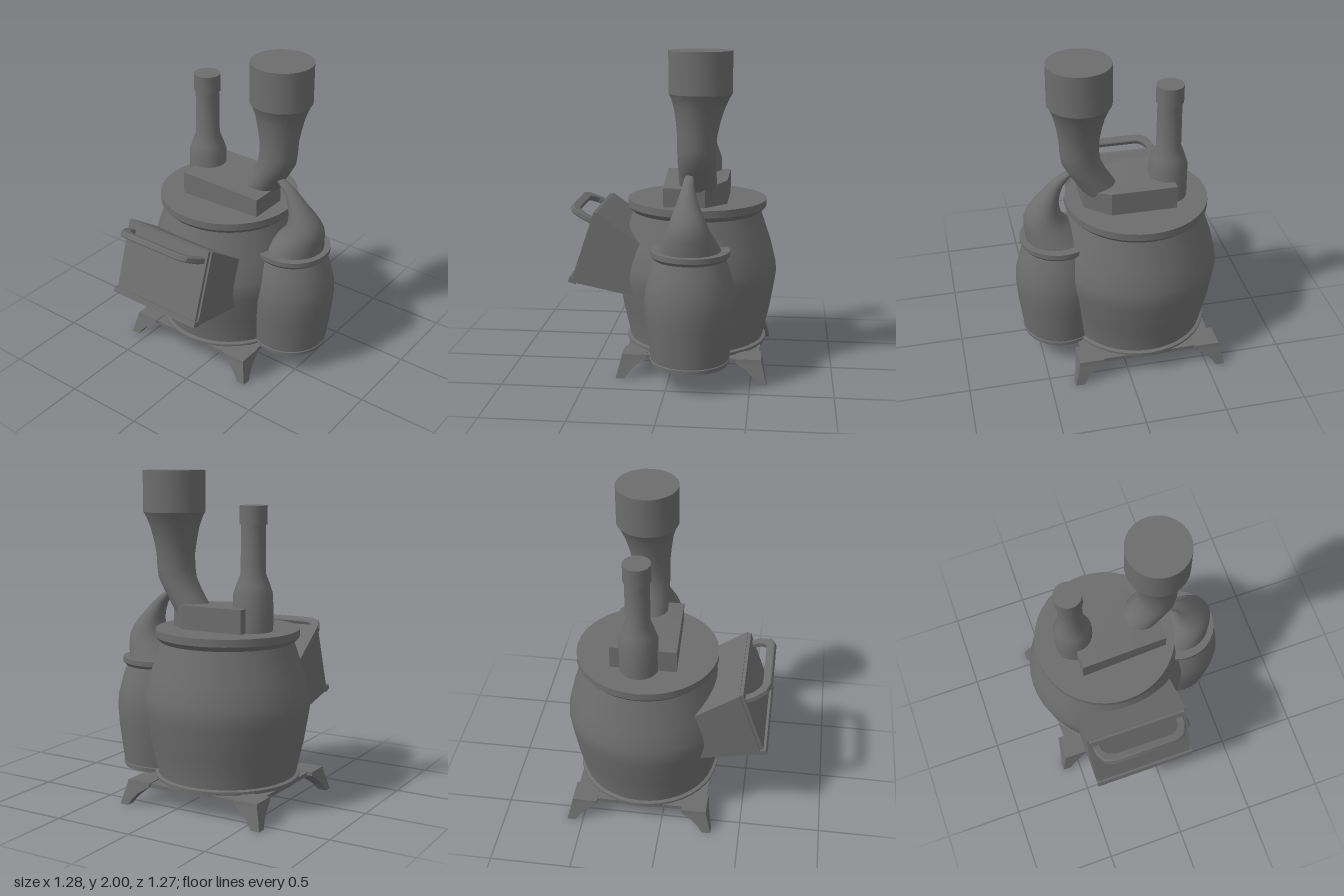
import * as THREE from 'three';
import { toCreasedNormals } from 'three/addons/utils/BufferGeometryUtils.js';

const material = new THREE.MeshStandardMaterial({ color: 0x6d6d6d });
const CX = 0.135, CZ = -0.13; // axis of the main vessel

export function createModel() {
  const model = new THREE.Group();

  function add(name, geometry, parent = model, crease = 0.5) {
    const mesh = new THREE.Mesh(toCreasedNormals(geometry, crease), material);
    mesh.name = name;
    parent.add(mesh);
    return mesh;
  }

  // Turned part from [radius, y] pairs, bottom to top
  function turned(name, profile, x, z, segments = 32) {
    const points = profile.map(([r, y]) => new THREE.Vector2(r, y));
    add(name, new THREE.LatheGeometry(points, segments)).position.set(x, 0, z);
  }

  // Capped skin over rings of [x, y, z], each anticlockwise seen from above
  function loft(rings) {
    const n = rings[0].length, index = [];
    for (let i = 0; i < rings.length - 1; i++) {
      for (let j = 0; j < n; j++) {
        const k = (j + 1) % n;
        const a = i * n + j, b = i * n + k, c = b + n, d = a + n;
        index.push(a, b, c, a, c, d);
      }
    }
    const top = (rings.length - 1) * n;
    for (let j = 1; j < n - 1; j++) {
      index.push(0, j + 1, j, top, top + j, top + j + 1);
    }
    const geometry = new THREE.BufferGeometry();
    geometry.setAttribute('position', new THREE.Float32BufferAttribute(rings.flat(2), 3));
    geometry.setIndex(index);
    geometry.computeVertexNormals();
    return geometry;
  }

  // Level ring from [y, centre x, centre z, radius x, radius z]
  function circle([y, x, z, r, rz = r]) {
    return Array.from({ length: 28 }, (_, i) => {
      const a = (i / 28) * Math.PI * 2;
      return [x + Math.cos(a) * r, y, z - Math.sin(a) * rz];
    });
  }

  function shape(points) {
    return new THREE.Shape(points.map(([x, y]) => new THREE.Vector2(x, y)));
  }

  // Main vessel with foot ring and lid
  turned('mainVessel', [
    [0, 0.14], [0.425, 0.14], [0.425, 0.17], [0.468, 0.36], [0.498, 0.54], [0.506, 0.6],
    [0.5, 0.66], [0.468, 0.79], [0.407, 0.97], [0.4, 1.0], [0, 1.0],
  ], CX, CZ, 40);
  turned('footRing', [
    [0, 0.13], [0.437, 0.13], [0.437, 0.148], [0.446, 0.152], [0.446, 0.165], [0.428, 0.172], [0, 0.172],
  ], CX, CZ, 40);
  turned('lid', [[0, 0.985], [0.41, 0.985], [0.437, 1.015], [0.437, 1.06], [0, 1.06]], CX, CZ, 40);

  // Front vessel
  turned('frontVessel', [
    [0, 0.14], [0.235, 0.14], [0.235, 0.155], [0.242, 0.158], [0.242, 0.168], [0.237, 0.172],
    [0.266, 0.4], [0.274, 0.52], [0.268, 0.6], [0.237, 0.72], [0.21, 0.795], [0, 0.795],
  ], CX, 0.36);
  turned('frontVesselRim', [
    [0, 0.79], [0.22, 0.79], [0.237, 0.81], [0.237, 0.84], [0, 0.84],
  ], CX, 0.36);

  // Horn rising from the front vessel and curling back to the pipe
  const horn = [
    [0.835, 0.135, 0.37, 0.187, 0.19], [0.93, 0.132, 0.428, 0.147, 0.14],
    [0.98, 0.13, 0.45, 0.125, 0.117], [1.03, 0.127, 0.445, 0.104, 0.1],
    [1.08, 0.124, 0.428, 0.084, 0.08], [1.13, 0.121, 0.4, 0.063, 0.062],
    [1.18, 0.12, 0.368, 0.046, 0.05], [1.225, 0.12, 0.325, 0.034, 0.042],
    [1.255, 0.12, 0.285, 0.028, 0.035], [1.268, 0.12, 0.265, 0.02, 0.02],
  ];
  add('horn', loft(horn.map(circle)), model, 0.9);

  // Bent pipe with a wide mouth
  const pipe = [
    [1.13, 0.16, 0.08, 0.115], [1.2, 0.16, 0.125, 0.115], [1.28, 0.16, 0.175, 0.115],
    [1.35, 0.16, 0.212, 0.117], [1.42, 0.16, 0.222, 0.117], [1.5, 0.162, 0.223, 0.119],
    [1.58, 0.167, 0.222, 0.132], [1.66, 0.174, 0.221, 0.15], [1.72, 0.179, 0.22, 0.172],
    [1.75, 0.18, 0.22, 0.188],
  ];
  add('bentPipe', loft(pipe.map(circle)), model, 0.7);
  turned('pipeMouth', [[0, 1.75], [0.19, 1.75], [0.19, 2.0], [0, 2.0]], 0.18, 0.22, 28);

  // Junction block on the lid, its top dipping at the front
  const plan = [[0.335, 0.065], [0.335, -0.335], [-0.07, -0.335], [-0.045, 0.21], [0.21, 0.21]];
  add('junctionBlock', loft([
    plan.map(([x, z]) => [x, 1.05, z]),
    plan.map(([x, z]) => [x, z > 0.1 ? 1.175 : 1.205, z]),
  ]), model, 0.2);

  // Slim chimney at the back
  turned('chimney', [
    [0, 1.05], [0.118, 1.05], [0.118, 1.28], [0.1, 1.335], [0.075, 1.4], [0.073, 1.69], [0, 1.69],
  ], 0.16, -0.32, 24);
  turned('chimneyCap', [[0, 1.69], [0.082, 1.69], [0.082, 1.8], [0, 1.8]], 0.16, -0.32, 24);

  // Side hopper, running into the main vessel
  const hopper = shape([[-0.605, 0.565], [-0.1, 0.462], [-0.1, 0.76], [-0.455, 1.01]]);
  add('hopper', new THREE.ExtrudeGeometry(hopper, { depth: 0.64, bevelEnabled: false }))
    .position.z = CZ - 0.32;

  // Hopper door with bottom ledge
  const door = new THREE.Group();
  door.name = 'hopperDoor';
  door.position.set(-0.53, 0.7875, CZ);
  door.rotation.z = -0.325;
  model.add(door);
  add('doorPanel', new THREE.BoxGeometry(0.025, 0.44, 0.615), door).position.set(-0.008, 0.01, 0);
  add('doorLedge', new THREE.BoxGeometry(0.05, 0.035, 0.64), door).position.set(-0.012, -0.225, 0);

  // Loop handle: one half mirrored, drawn outward from the door
  const outer = [[-0.01, 0.29], [0.075, 0.282], [0.145, 0.25], [0.17, 0.2]];
  const inner = [[0.128, 0.18], [0.112, 0.215], [0.07, 0.248], [-0.01, 0.256]];
  const flip = (list) => list.map(([x, y]) => [x, -y]).reverse();
  const loop = shape([...outer, ...flip(outer), ...flip(inner), ...inner]);
  const handle = add('handle', new THREE.ExtrudeGeometry(loop, {
    depth: 0.026, bevelEnabled: true, bevelSize: 0.006, bevelThickness: 0.006, bevelSegments: 1,
  }));
  handle.matrixAutoUpdate = false;
  handle.matrix.makeBasis(
    new THREE.Vector3(-0.905, 0.425, 0), new THREE.Vector3(0, 0, 1), new THREE.Vector3(0.425, 0.905, 0),
  ).setPosition(-0.483, 0.934, CZ);

  // Base plate and four splayed legs
  add('basePlate', new THREE.BoxGeometry(0.83, 0.025, 0.83)).position.set(CX, 0.13, CZ);
  const legSections = [
    [0, 0.41, 0.465], [0.04, 0.385, 0.455], [0.08, 0.345, 0.445],
    [0.11, 0.3, 0.437], [0.125, 0.275, 0.433], [0.148, 0.275, 0.43],
  ];
  for (const [sx, sz, x, z] of [
    [1, 1, 0.135, -0.13], [1, -1, 0.135, -0.132], [-1, 1, 0.138, -0.15], [-1, -1, 0.143, -0.135],
  ]) {
    const rings = legSections.map(([y, a, b]) => {
      const ring = [[a, a], [b, a], [b, b], [a, b]]
        .map(([u, w]) => [x + sx * u, y, z + sz * (w + 0.015)]);
      return sx * sz > 0 ? ring.reverse() : ring;
    });
    add('leg', loft(rings), model, 0.6);
  }
  return model;
}
